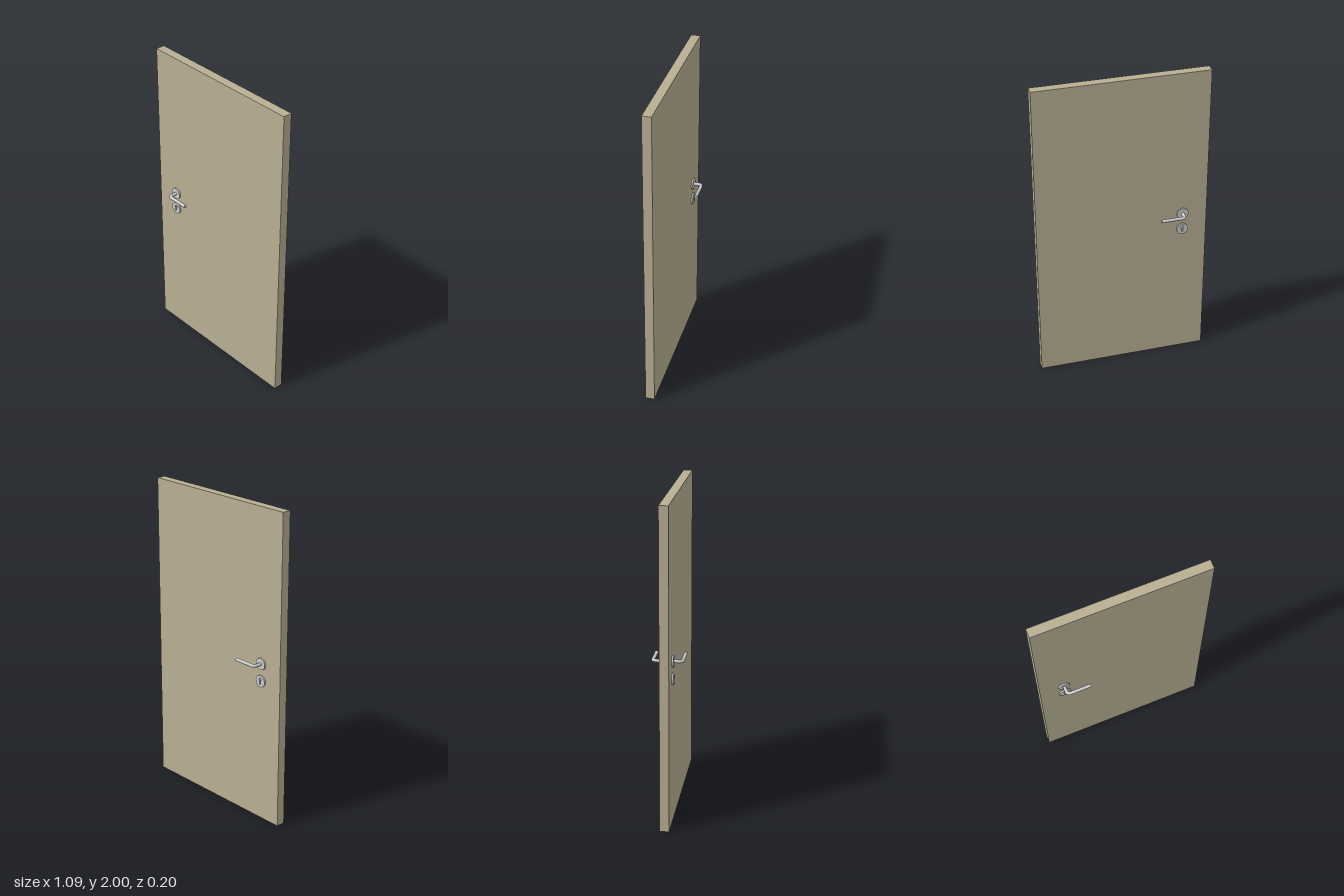
import * as THREE from 'three';

const FACE = 0.0285;   // half the thickness of the door leaf
const LOCK_X = -0.387; // vertical axis of the handle and lock

const wood = new THREE.MeshStandardMaterial({ color: 0xb8ae93 });
const metal = new THREE.MeshStandardMaterial({ color: 0xcccccc });

function part(parent, name, geometry, material) {
  const mesh = new THREE.Mesh(geometry, material);
  mesh.name = name;
  parent.add(mesh);
  return mesh;
}

// Round plate facing +z
function disc(radius, depth) {
  return new THREE.CylinderGeometry(radius, radius, depth, 40)
    .rotateX(Math.PI / 2).translate(0, 0, depth / 2);
}

// Round plate pierced by a keyhole
function keyholePlate(radius, depth) {
  const shape = new THREE.Shape().absarc(0, 0, radius, 0, Math.PI * 2, false);
  const hole = new THREE.Path();
  hole.moveTo(-0.005, -0.02);
  hole.lineTo(-0.005, 0.003);
  hole.absarc(0, 0.011, 0.0095, -2.13, -1.01, true);
  hole.lineTo(0.005, -0.02);
  hole.closePath();
  shape.holes.push(hole);
  return new THREE.ExtrudeGeometry(shape, { depth, bevelEnabled: false, curveSegments: 20 });
}

// Lever path: straight neck, rounded elbow, straight grip
function leverPath(side) {
  const reach = 0.0885, bend = 0.022, tip = 0.152;
  const p = (x, z) => new THREE.Vector3(x, 0, side * z);
  const path = new THREE.CurvePath();
  path.add(new THREE.LineCurve3(p(0, FACE), p(0, reach - bend)));
  path.add(new THREE.QuadraticBezierCurve3(p(0, reach - bend), p(0, reach), p(bend, reach)));
  path.add(new THREE.LineCurve3(p(bend, reach), p(tip, reach)));
  return { path, end: p(tip, reach) };
}

function lockSet(side) {
  const set = new THREE.Group();
  set.name = side > 0 ? 'frontLockSet' : 'backLockSet';
  set.position.x = LOCK_X;
  const turn = side > 0 ? 0 : Math.PI;

  // Handle with its round rose
  const handle = new THREE.Group();
  handle.name = 'handle';
  handle.position.y = 1.037;
  const rose = part(handle, 'handleRose', disc(0.037, 0.0095), metal);
  rose.position.z = side * FACE;
  rose.rotation.y = turn;
  const { path, end } = leverPath(side);
  part(handle, 'lever', new THREE.TubeGeometry(path, 64, 0.0105, 20, false), metal);
  const cap = part(handle, 'leverEnd', new THREE.CircleGeometry(0.0105, 20), metal);
  cap.rotation.y = Math.PI / 2;
  cap.position.copy(end);
  set.add(handle);

  // Keyhole plate over a recessed lock face
  const lock = new THREE.Group();
  lock.name = 'lock';
  lock.position.set(0, 0.926, side * FACE);
  lock.rotation.y = turn;
  part(lock, 'keyholePlate', keyholePlate(0.037, 0.0095), metal);
  part(lock, 'lockFace', disc(0.03, 0.001), metal);
  set.add(lock);
  return set;
}

export function createModel() {
  const model = new THREE.Group();
  model.name = 'door';
  const leaf = part(model, 'doorLeaf', new THREE.BoxGeometry(1.088, 2, FACE * 2), wood);
  leaf.position.y = 1;
  for (const side of [1, -1]) model.add(lockSet(side));
  return model;
}
